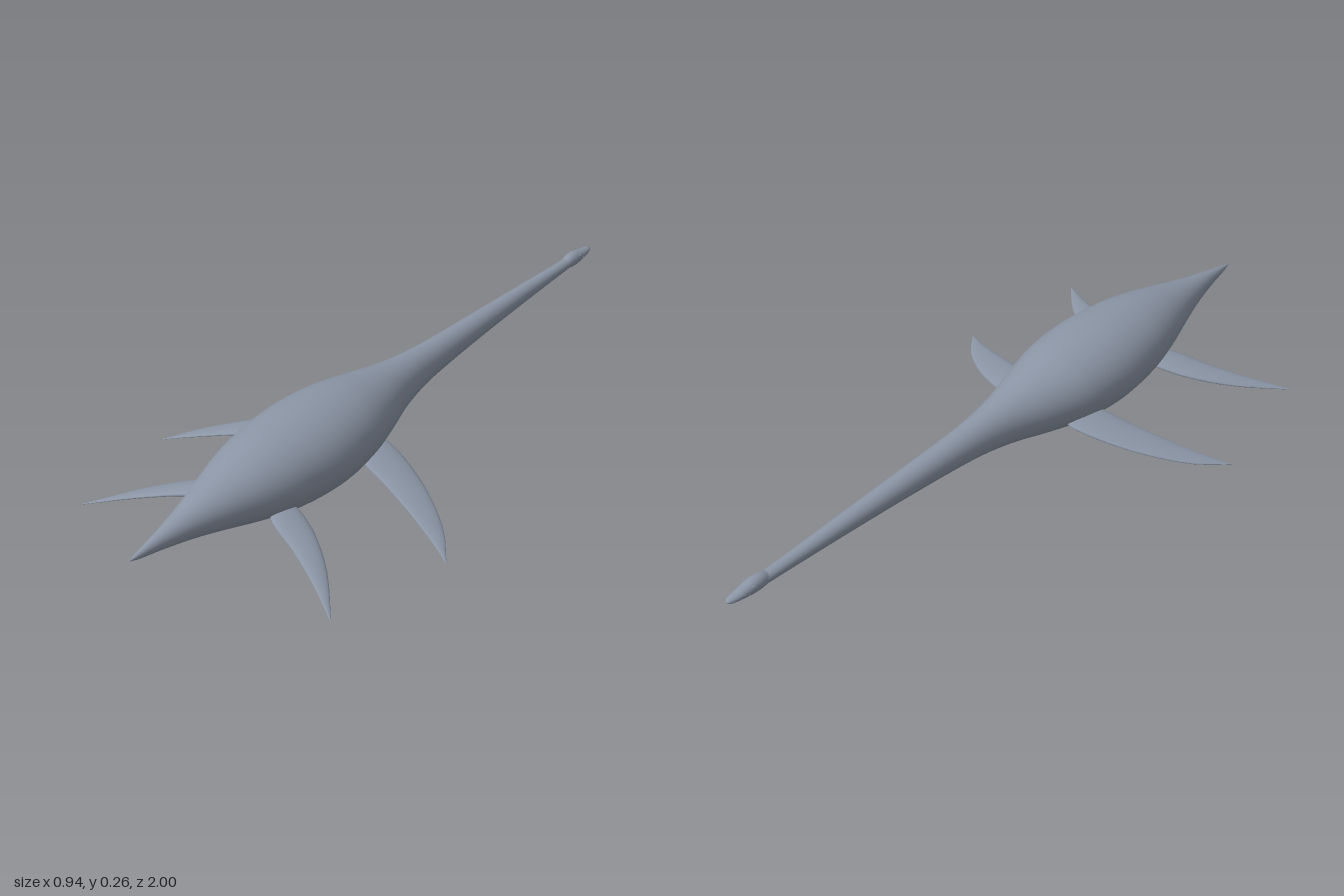
import * as THREE from 'three';

const skin = new THREE.MeshStandardMaterial({ color: 0x8c96a6 });
skin.name = 'slate grey skin';

// Smoothly resample rows of numbers (catmull-rom on every column)
function resample(rows, steps) {
  const out = [];
  for (let i = 0; i < rows.length - 1; i++) {
    const a = rows[Math.max(i - 1, 0)], b = rows[i], c = rows[i + 1], d = rows[Math.min(i + 2, rows.length - 1)];
    for (let s = 0; s < steps; s++) {
      const t = s / steps;
      out.push(b.map((v, k) => {
        // slopes scaled by the uneven spacing of the first column
        const h = c[0] - b[0];
        const m0 = h * (c[k] - a[k]) / (c[0] - a[0]);
        const m1 = h * (d[k] - v) / (d[0] - b[0]);
        const t2 = t * t, t3 = t2 * t;
        return (2 * t3 - 3 * t2 + 1) * v + (t3 - 2 * t2 + t) * m0 + (3 * t2 - 2 * t3) * c[k] + (t3 - t2) * m1;
      }));
    }
  }
  out.push(rows[rows.length - 1]);
  return out;
}

// Skin a list of sections; point(section, cos, sin) gives a ring vertex
function loft(sections, sides, point, flip = false) {
  const pos = [], idx = [];
  for (const s of sections) {
    for (let j = 0; j < sides; j++) {
      const a = (j / sides) * Math.PI * 2;
      pos.push(...point(s, Math.cos(a), Math.sin(a)));
    }
  }
  for (let i = 0; i < sections.length - 1; i++) {
    for (let j = 0; j < sides; j++) {
      const a = i * sides + j, b = i * sides + (j + 1) % sides, c = a + sides, d = b + sides;
      if (flip) idx.push(a, b, c, b, d, c);
      else idx.push(a, c, b, b, c, d);
    }
  }
  const g = new THREE.BufferGeometry();
  g.setAttribute('position', new THREE.Float32BufferAttribute(pos, 3));
  g.setIndex(idx);
  g.computeVertexNormals();
  return g;
}

function add(parent, name, geometry) {
  const mesh = new THREE.Mesh(geometry, skin);
  mesh.name = name;
  parent.add(mesh);
  return mesh;
}

// z, half width, top y, bottom y: tail tip, trunk, neck
const bodyProfile = [
  [1, 0.001, 0.158, 0.156], [0.97, 0.008, 0.166, 0.147], [0.9, 0.021, 0.18, 0.134],
  [0.8, 0.045, 0.2, 0.113], [0.7, 0.076, 0.223, 0.087], [0.6, 0.108, 0.245, 0.059],
  [0.5, 0.131, 0.259, 0.037], [0.36, 0.145, 0.265, 0.024], [0.22, 0.133, 0.257, 0.031],
  [0.1, 0.101, 0.237, 0.052], [0, 0.071, 0.22, 0.075], [-0.1, 0.052, 0.208, 0.093],
  [-0.2, 0.043, 0.2, 0.105], [-0.4, 0.034, 0.191, 0.12], [-0.6, 0.026, 0.183, 0.13],
  [-0.8, 0.019, 0.174, 0.138], [-0.88, 0.017, 0.171, 0.141],
];
// head, from the nape to the snout
const headProfile = [
  [-0.86, 0.012, 0.168, 0.144], [-0.885, 0.018, 0.177, 0.139], [-0.91, 0.02, 0.179, 0.138],
  [-0.94, 0.0185, 0.174, 0.141], [-0.97, 0.015, 0.168, 0.146], [-0.992, 0.009, 0.164, 0.151],
  [-1, 0.001, 0.158, 0.156],
];
const bodyPoint = ([z, w, top, bottom], c, s) => [w * c, (top + bottom) / 2 + s * (top - bottom) / 2, z];

// x, leading z, trailing z, y, half thickness
const flippers = {
  front: [
    [0.075, 0.19, 0.2, 0.094, 0.002], [0.085, 0.155, 0.235, 0.094, 0.009], [0.11, 0.142, 0.26, 0.089, 0.012],
    [0.2, 0.172, 0.285, 0.068, 0.0105], [0.3, 0.225, 0.318, 0.044, 0.008],
    [0.4, 0.303, 0.357, 0.019, 0.005], [0.47, 0.389, 0.391, 0.002, 0.001],
  ],
  rear: [
    [0.07, 0.555, 0.565, 0.094, 0.002], [0.08, 0.525, 0.59, 0.094, 0.008], [0.11, 0.52, 0.615, 0.089, 0.011],
    [0.2, 0.563, 0.65, 0.069, 0.0095], [0.3, 0.643, 0.7, 0.046, 0.0065], [0.402, 0.758, 0.761, 0.021, 0.001],
  ],
};

export function createModel() {
  const model = new THREE.Group();
  model.name = 'longNeckedSeaReptile';

  add(model, 'bodyNeckAndTail', loft(resample(bodyProfile, 5), 40, bodyPoint));

  const head = new THREE.Group();
  head.name = 'head';
  model.add(head);
  add(head, 'skull', loft(resample(headProfile, 4), 24, bodyPoint));

  // Mirrored flippers, eyes and teeth
  for (const side of [1, -1]) {
    const label = side > 0 ? 'left' : 'right';
    for (const [name, rows] of Object.entries(flippers)) {
      const point = ([x, lead, trail, y, t], c, s) =>
        [side * x, y + t * s, (lead + trail) / 2 + c * (trail - lead) / 2];
      add(model, `${label}${name === 'front' ? 'Front' : 'Rear'}Flipper`, loft(resample(rows, 5), 20, point, side < 0));
    }
    add(head, `${label}Eye`, new THREE.SphereGeometry(0.003, 10, 8)).position.set(side * 0.0165, 0.168, -0.925);
    for (let i = 0; i < 5; i++) {
      const tooth = add(head, `${label}Tooth`, new THREE.ConeGeometry(0.0015, 0.006, 6));
      tooth.position.set(side * (0.0185 - i * 0.0018), 0.156, -0.943 - i * 0.0105);
      if (i % 2) tooth.rotation.x = Math.PI;
    }
  }
  return model;
}
